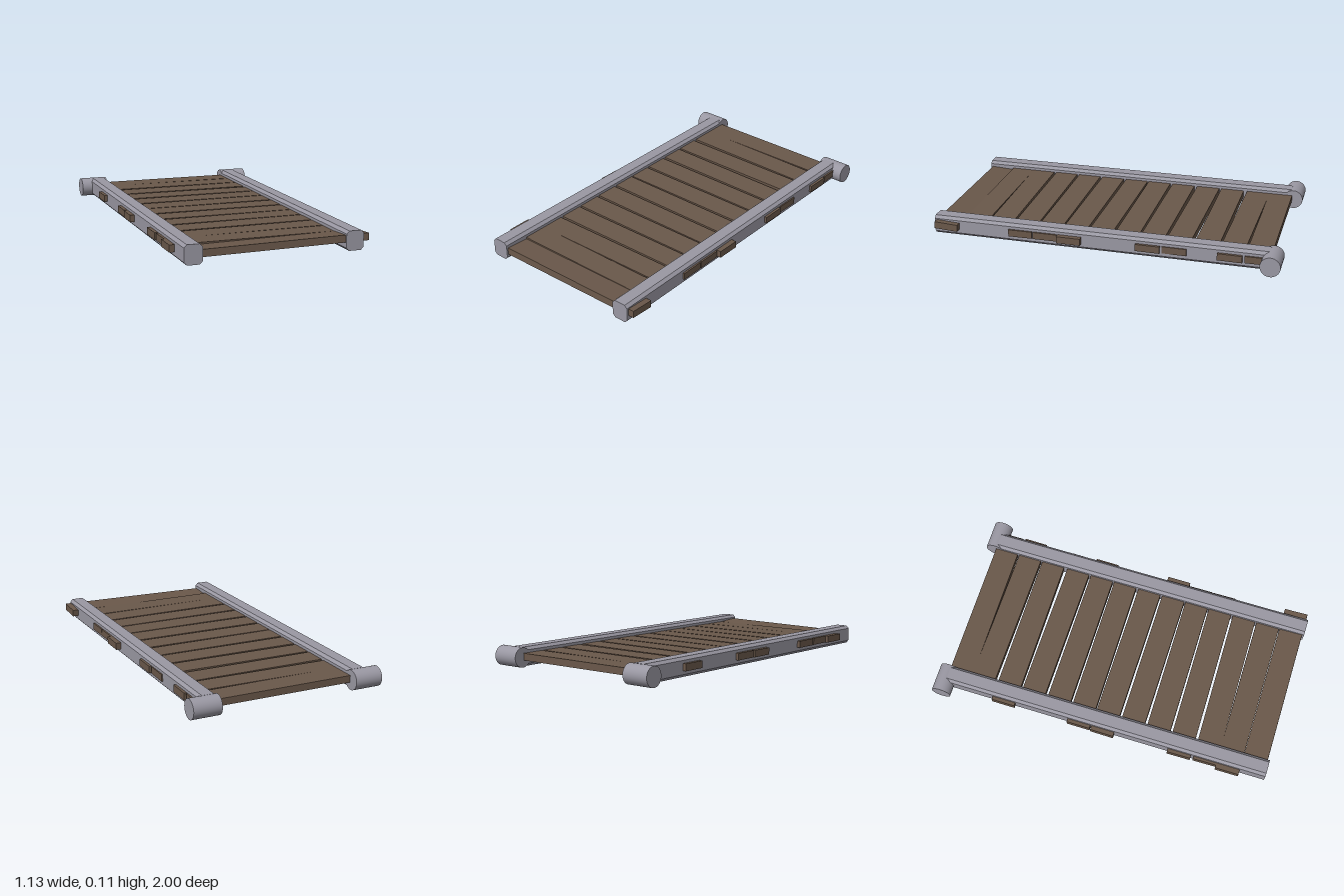
import * as THREE from 'three';

export function createModel() {
  const model = new THREE.Group();
  model.name = 'plankBridge';
  const metal = new THREE.MeshStandardMaterial({ color: 0x9a98a3 });
  metal.name = 'grey metal';
  const wood = new THREE.MeshStandardMaterial({ color: 0x6a584a });
  wood.name = 'brown wood';

  const add = (parent, name, geometry, material) => {
    const mesh = new THREE.Mesh(geometry, material);
    mesh.name = name;
    parent.add(mesh);
    return mesh;
  };

  // Side rail section: a box with chamfered corners
  const w = 0.05, h = 0.054, c = 0.016;
  const section = new THREE.Shape([
    [-w + c, -h], [w - c, -h], [w, -h + c], [w, h - c],
    [w - c, h], [-w + c, h], [-w, h - c], [-w, -h + c],
  ].map(([x, y]) => new THREE.Vector2(x, y)));
  const railGeometry = new THREE.ExtrudeGeometry(section, { depth: 1.93, bevelEnabled: false });
  const hingeGeometry = new THREE.CylinderGeometry(0.0565, 0.0565, 0.163, 32);
  hingeGeometry.rotateZ(Math.PI / 2);

  // Rails with a hinge barrel at the back end of each
  for (const [side, s] of [['left', 1], ['right', -1]]) {
    add(model, side + 'Rail', railGeometry, metal).position.set(s * 0.45, 0.058, -0.93);
    add(model, side + 'Hinge', hingeGeometry, metal).position.set(s * 0.4815, 0.0565, -0.9435);
  }

  // Planks, back to front: [right end x, left end x, centre z, yaw]
  const planks = [
    [-0.49, 0.51, -0.867, 0], [-0.49, 0.515, -0.724, -0.016], [-0.52, 0.49, -0.571, -0.003],
    [-0.49, 0.507, -0.415, -0.015], [-0.49, 0.515, -0.262, -0.008], [-0.52, 0.49, -0.112, -0.002],
    [-0.525, 0.49, 0.037, -0.011], [-0.49, 0.53, 0.189, -0.007], [-0.49, 0.51, 0.338, 0.003],
    [-0.52, 0.51, 0.487, 0.01], [-0.515, 0.49, 0.638, 0.015], [-0.53, 0.49, 0.78, 0.003],
    [-0.49, 0.535, 0.921, 0],
  ];
  const deck = new THREE.Group();
  deck.name = 'deck';
  model.add(deck);
  planks.forEach(([x0, x1, z, yaw], i) => {
    const plank = add(deck, 'plank' + (i + 1), new THREE.BoxGeometry(x1 - x0, 0.04, 0.138), wood);
    plank.position.set((x0 + x1) / 2, 0.06, z);
    plank.rotation.y = yaw;
    // The front plank sits loose, slightly tilted
    if (i === planks.length - 1) plank.rotation.set(-0.06, 0, 0.013);
  });
  return model;
}
